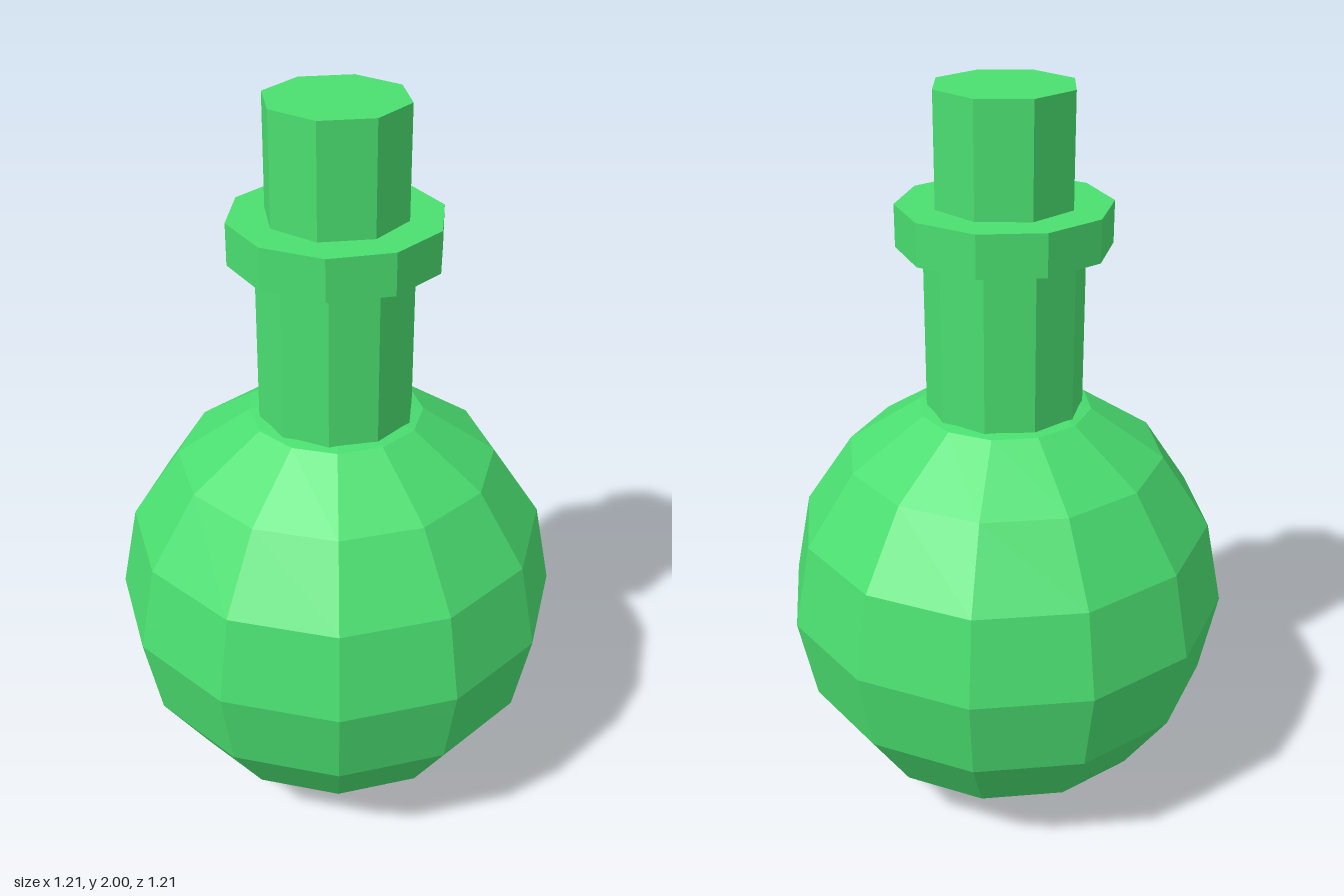
import * as THREE from 'three';

export function createModel() {
  const group = new THREE.Group();
  const glass = new THREE.MeshStandardMaterial({ color: 0x4ade70, flatShading: true });

  function add(name, geometry, y) {
    const mesh = new THREE.Mesh(geometry, glass);
    mesh.name = name;
    mesh.position.y = y;
    group.add(mesh);
  }

  // Upright prism between two heights
  function prism(name, radius, sides, bottom, top) {
    const geometry = new THREE.CylinderGeometry(radius, radius, top - bottom, sides);
    add(name, geometry, (bottom + top) / 2);
  }

  // Round faceted flask
  add('body', new THREE.SphereGeometry(0.603, 12, 8), 0.605);

  // Neck sunk into the body, rim collar and stopper
  prism('neck', 0.207, 10, 1.12, 1.6);
  prism('collar', 0.276, 10, 1.6, 1.71);
  prism('stopper', 0.184, 8, 1.71, 2);

  return group;
}
